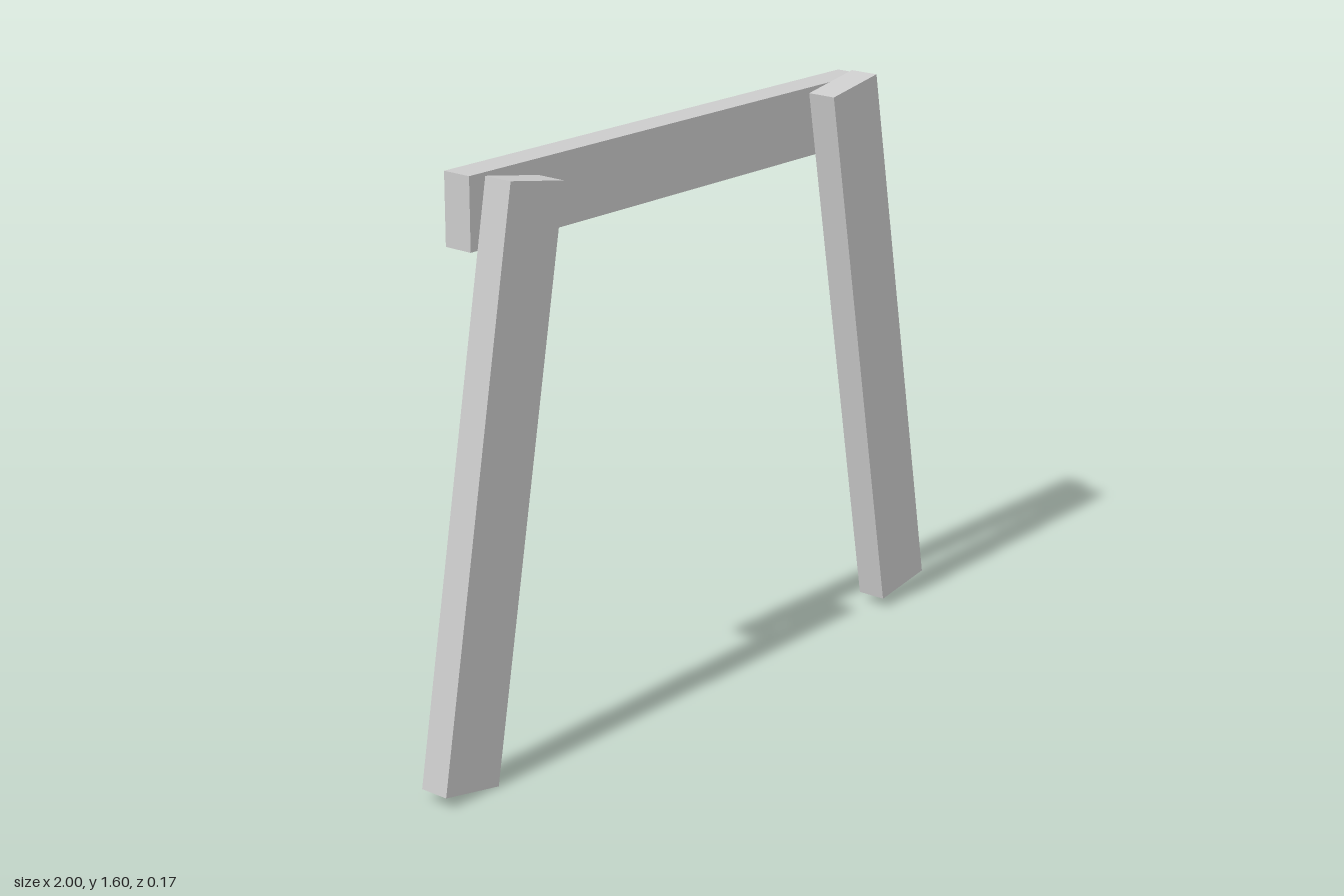
import * as THREE from 'three';

export function createModel() {
  const group = new THREE.Group();
  const material = new THREE.MeshStandardMaterial({ color: 0xcccccc, flatShading: true });
  const width = 0.192, thickness = 0.085, tilt = THREE.MathUtils.degToRad(10);

  // One flat plank, positioned by its centre and tilted in the front plane
  function plank(name, w, h, x, y, z, angle = 0) {
    const mesh = new THREE.Mesh(new THREE.BoxGeometry(w, h, thickness), material);
    mesh.name = name;
    mesh.position.set(x, y, z);
    mesh.rotation.z = angle;
    group.add(mesh);
  }

  // Crossbeam behind the legs
  plank('crossbeam', 1.56, width, 0, 1.484, -0.045);

  // Splayed legs; the left one sits slightly higher
  plank('rightLeg', width, 1.561, -0.77, 0.787, 0.045, -tilt);
  plank('leftLeg', width, 1.561, 0.767, 0.814, 0.045, tilt);

  return group;
}
